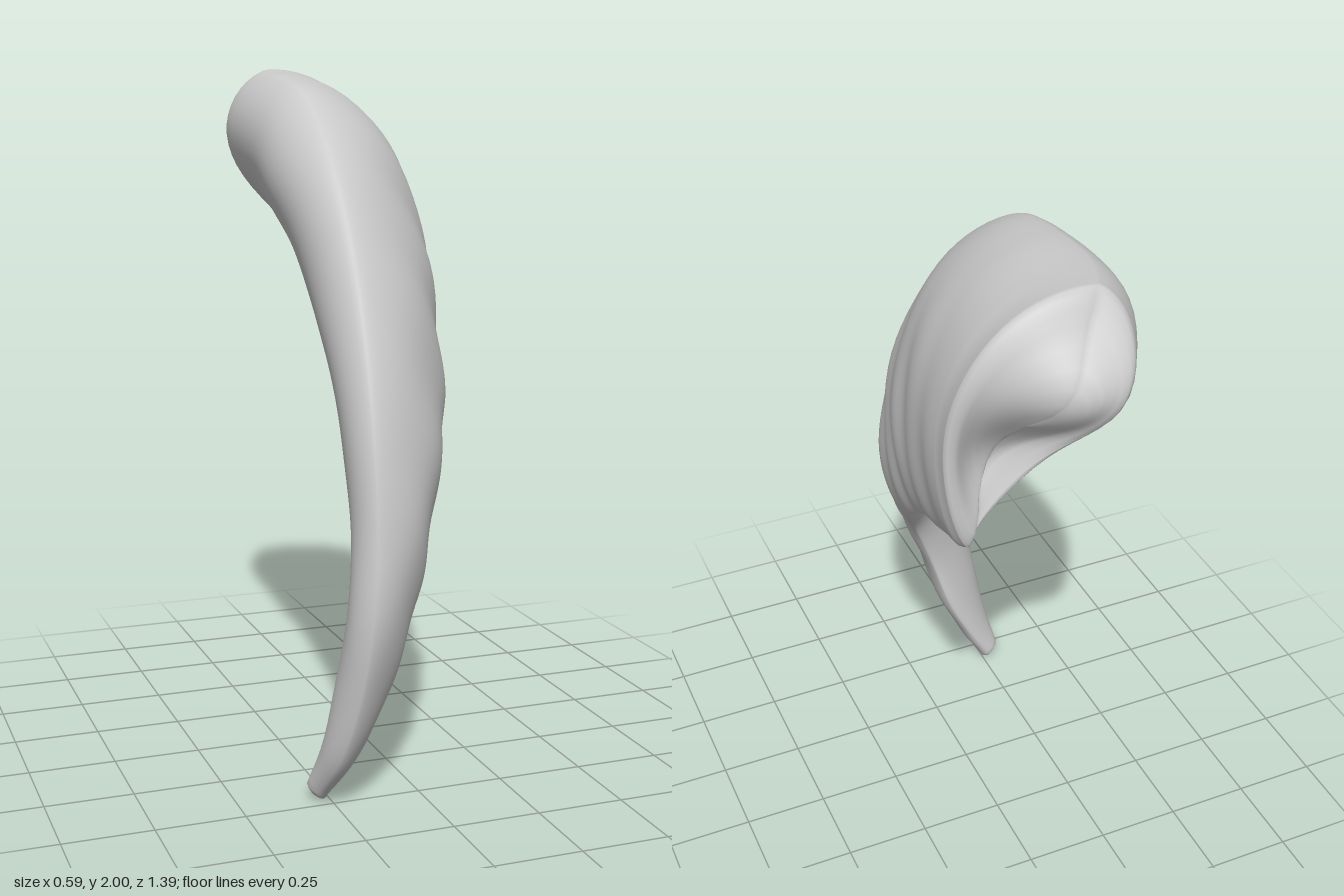
import * as THREE from 'three';

// Stations from tip to root: outer ridge (x,y,z), inner edge (x,y,z), bulge of the +x and -x faces
const STATIONS = [
  [-0.29, 0.025, 0.485, -0.26, 0.025, 0.405, 0.03, 0.035],
  [-0.26, 0.15, 0.585, -0.205, 0.12, 0.405, 0.045, 0.055],
  [-0.23, 0.33, 0.655, -0.125, 0.28, 0.41, 0.06, 0.078],
  [-0.21, 0.55, 0.698, -0.055, 0.5, 0.42, 0.075, 0.088],
  [-0.195, 0.8, 0.68, 0.01, 0.665, 0.38, 0.095, 0.09],
  [-0.19, 1.05, 0.63, 0.075, 0.8, 0.27, 0.12, 0.11],
  [-0.185, 1.3, 0.54, 0.135, 0.93, 0.14, 0.14, 0.13],
  [-0.18, 1.52, 0.43, 0.17, 1.03, 0.0, 0.155, 0.15],
  [-0.18, 1.7, 0.3, 0.19, 1.11, -0.1, 0.17, 0.17],
  [-0.18, 1.835, 0.15, 0.205, 1.17, -0.2, 0.19, 0.185],
  [-0.18, 1.92, 0.0, 0.21, 1.2, -0.3, 0.21, 0.185],
  [-0.18, 1.96, -0.2, 0.215, 1.235, -0.4, 0.23, 0.18],
  [-0.17, 1.975, -0.4, 0.22, 1.255, -0.465, 0.245, 0.165],
  [-0.11, 1.99, -0.54, 0.21, 1.27, -0.5, 0.24, 0.12],
];
const ROWS = 110, AROUND = 64;

const curveOf = (pick) =>
  new THREE.CatmullRomCurve3(STATIONS.map((s) => new THREE.Vector3(...pick(s))));

// Round bump in the x-y plane
const bump = (p, x, y, wx, wy) => Math.exp(-(((p.x - x) / wx) ** 2) - ((p.y - y) / wy) ** 2);

// Knob standing out backwards at the top of the root
const knob = (p) => 0.145 * bump(p, -0.02, 1.76, 0.2, 0.155);

function buildRings() {
  const ridge = curveOf((s) => s.slice(0, 3));
  const edge = curveOf((s) => s.slice(3, 6));
  const bulge = curveOf((s) => [s[6], s[7], 0]);
  const middle = (u) => ridge.getPoint(u).add(edge.getPoint(u)).multiplyScalar(0.5);
  const rings = [];
  for (let i = 0; i <= ROWS; i++) {
    const u = i / ROWS;
    const o = ridge.getPoint(u), chord = edge.getPoint(u).sub(o), b = bulge.getPoint(u);
    const along = middle(Math.min(1, u + 0.02)).sub(middle(Math.max(0, u - 0.02)));
    const normal = chord.clone().cross(along).normalize();
    const rootward = THREE.MathUtils.smoothstep(u, 0.86, 1);
    const sharp = THREE.MathUtils.lerp(1, 1.45, THREE.MathUtils.smoothstep(u, 0, 0.2));
    const fade = Math.sin(Math.PI * u);
    const ring = [];
    for (let j = 0; j < AROUND; j++) {
      const a = (j / AROUND) * Math.PI * 2;
      const c = Math.cos(a), s = Math.sin(a), t = (1 - c) / 2;
      // sharp-ridged +x face with worn ripples; -x face full near the ridge, hollow near the edge
      const off = s >= 0
        ? b.x * s ** sharp * (1 + 0.25 * u * u * c) + 0.008 * fade * s * t * Math.sin(u * 62 + t * 5)
        : -b.y * Math.abs(s) ** 1.1 * (1 - 0.2 * u + (0.2 + 0.8 * u) * c);
      const dent = 0.003 * fade * s * Math.sin(u * 31 - t * 9);
      const p = o.clone().addScaledVector(chord, t).addScaledVector(normal, off + dent);
      p.z -= rootward * (knob(p) + 0.05 * Math.max(0, s));
      ring.push(p);
    }
    rings.push(ring);
  }
  return rings;
}

const centreOf = (ring) =>
  ring.reduce((c, p) => c.add(p), new THREE.Vector3()).divideScalar(ring.length);

// Rounded tip below the first ring: [scale, drop]
function tipCap(ring) {
  const c = centreOf(ring);
  return [[0.001, 0.025], [0.4, 0.022], [0.7, 0.016], [0.9, 0.008]].map(([f, drop]) =>
    ring.map((p) => {
      const q = c.clone().lerp(p, f);
      q.y -= drop;
      return q;
    }));
}

// Root face: rounded rim, knob above and a hollow below it
function rootCap(ring) {
  const flat = ring.map((p) => p.clone().setZ(p.z + knob(p)));
  const c = centreOf(flat);
  return [0.96, 0.88, 0.78, 0.66, 0.54, 0.42, 0.3, 0.18, 0.001].map((f) =>
    flat.map((p) => {
      const q = c.clone().lerp(p, f);
      const inner = THREE.MathUtils.smoothstep(1 - f, 0.05, 0.4);
      q.z += -knob(q) - 0.01 * Math.sin(Math.PI * Math.min(1, (1 - f) * 4))
        + inner * 0.07 * bump(q, 0.12, 1.5, 0.13, 0.16);
      return q;
    }));
}

function skin(rings) {
  const pos = [], index = [];
  rings.forEach((ring) => ring.forEach((p) => pos.push(p.x, p.y, p.z)));
  for (let i = 0; i < rings.length - 1; i++) {
    for (let j = 0; j < AROUND; j++) {
      const k = (j + 1) % AROUND;
      const a = i * AROUND + j, b = i * AROUND + k;
      index.push(a, b, a + AROUND, b, b + AROUND, a + AROUND);
    }
  }
  const g = new THREE.BufferGeometry();
  g.setAttribute('position', new THREE.Float32BufferAttribute(pos, 3));
  g.setIndex(index);
  g.computeVertexNormals();
  return g;
}

export function createModel() {
  const body = buildRings();
  const geometry = skin([...tipCap(body[0]), ...body, ...rootCap(body[ROWS])]);
  const claw = new THREE.Mesh(geometry, new THREE.MeshStandardMaterial({ color: 0xcccccc }));
  claw.name = 'curvedClaw';
  const group = new THREE.Group();
  group.name = 'claw';
  group.add(claw);
  return group;
}
